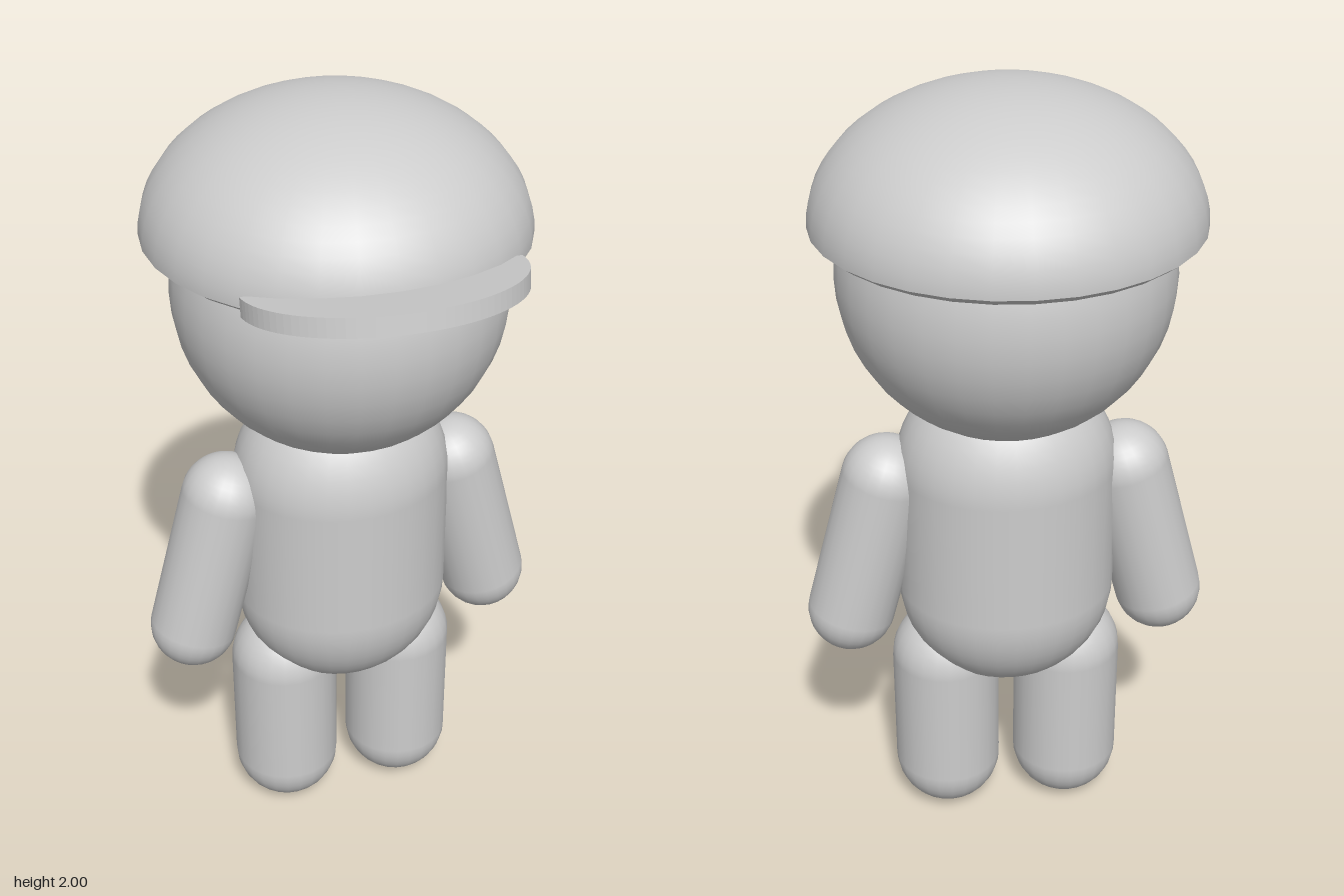
import * as THREE from 'three';

export function createModel() {
  const model = new THREE.Group();
  const grey = new THREE.MeshStandardMaterial({ color: 0xcccccc });
  grey.name = 'light grey';
  const Z = -0.04; // depth of the body axis

  const add = (name, geometry, x, y, z) => {
    const mesh = new THREE.Mesh(geometry, grey);
    mesh.name = name;
    mesh.position.set(x, y, z);
    model.add(mesh);
    return mesh;
  };

  // Torso: a capsule, slightly flattened front to back
  const torso = add('torso', new THREE.CapsuleGeometry(0.275, 0.34, 12, 32), 0, 0.865, Z);
  torso.scale.z = 0.875;

  // Head
  add('head', new THREE.SphereGeometry(0.4, 32, 24), 0, 1.55, Z);

  // Arms and legs, mirrored
  for (const [side, s] of [['left', 1], ['right', -1]]) {
    const arm = add(side + 'Arm', new THREE.CapsuleGeometry(0.112, 0.39, 10, 24), s * 0.35, 0.822, Z);
    arm.rotation.z = s * 0.262;
    add(side + 'Leg', new THREE.CapsuleGeometry(0.14, 0.33, 10, 24), s * 0.16, 0.305, Z);
  }

  // Cap dome: flattened half sphere
  const capX = 0.455, capH = 0.312;
  const dome = new THREE.SphereGeometry(1, 32, 16, 0, Math.PI * 2, 0, Math.PI / 2);
  dome.scale(capX, capH, 0.46);
  add('capDome', dome, 0, 1.688, -0.07);

  // Cap underside: narrow sloping lip and flat base
  const lip = new THREE.CylinderGeometry(capX, 0.432, 0.018, 32);
  add('capBase', lip, 0, 1.679, -0.07).scale.z = 0.46 / capX;

  // Visor: half-ellipse plate, tilted up at the front
  const outline = new THREE.Shape();
  outline.absellipse(0, 0, 0.32, 0.26, 0, Math.PI, false);
  outline.closePath();
  const plate = new THREE.ExtrudeGeometry(outline, { depth: 0.044, bevelEnabled: false, curveSegments: 24 });
  plate.translate(0, 0, -0.022);
  plate.rotateX(Math.PI / 2); // outline y becomes z (forward)
  add('visor', plate, 0, 1.696, 0.27).rotation.x = -0.17;

  return model;
}
